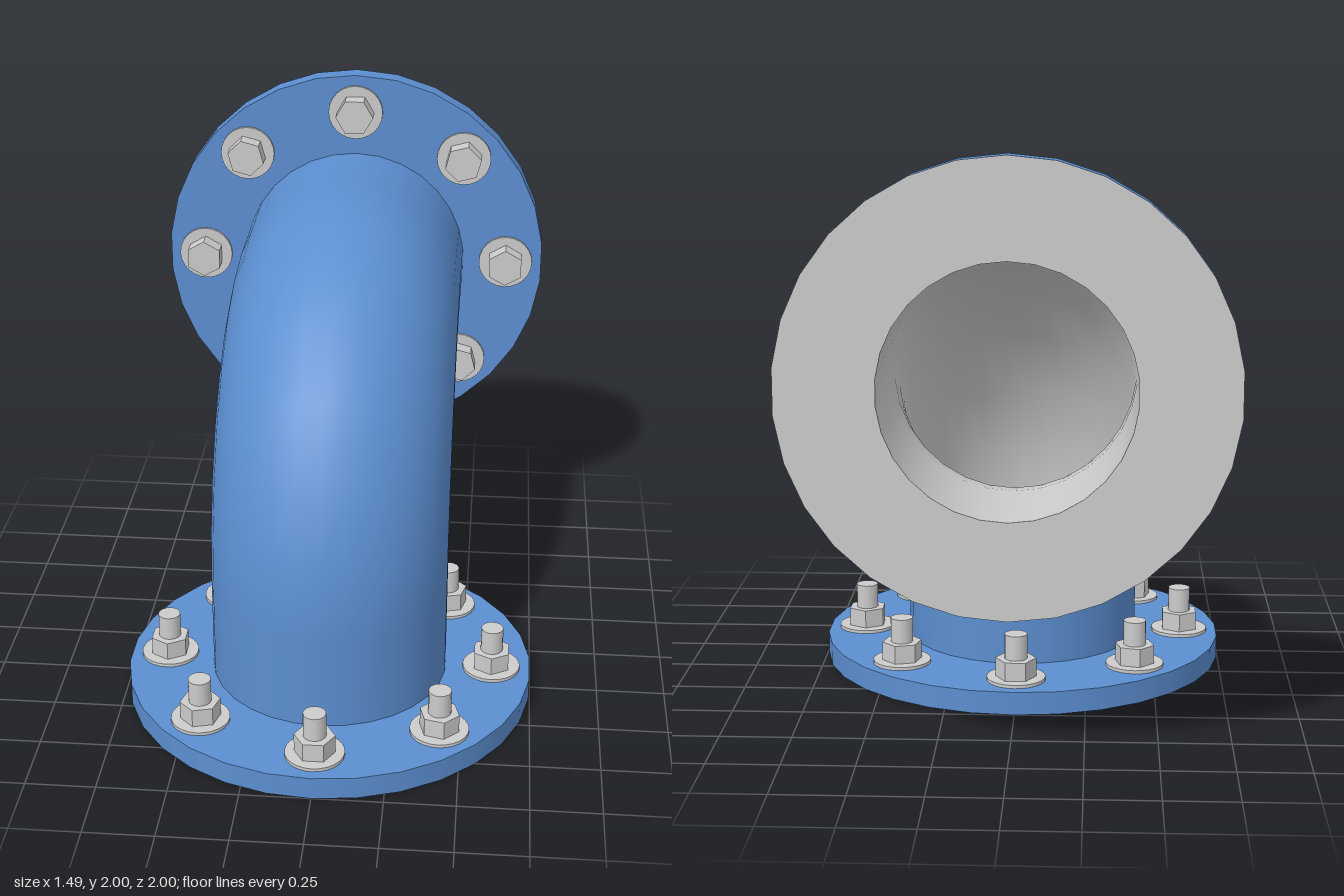
import * as THREE from 'three';

const SIDES = 30, FLANGE_R = 0.75, FLANGE_T = 0.083, OUTER_R = 0.435, BORE_R = 0.42;
const BEND_R = 0.82, BEND_Y = 0.43, BEND_Z = -0.57, BEND_STEPS = 7;
const BOLTS = 8, BOLT_RING = 0.604;

const blue = new THREE.MeshStandardMaterial({ color: 0x5b8ed0 });
blue.name = 'blue paint';
const steel = new THREE.MeshStandardMaterial({ color: 0xcccccc });
steel.name = 'bare steel';

function add(parent, name, geometry, material, y = 0) {
  const mesh = new THREE.Mesh(geometry, material);
  mesh.name = name;
  mesh.position.y = y;
  parent.add(mesh);
  return mesh;
}

// Round pipe swept up, through a quarter bend and back; inside = true faces the bore
function elbow(radius, inside) {
  const rings = [[0, 0.25, 0]]; // y, z, bend angle
  for (let i = 0; i <= BEND_STEPS; i++) {
    const t = (i / BEND_STEPS) * Math.PI / 2;
    rings.push([BEND_Y + BEND_R * Math.sin(t), BEND_Z + BEND_R * Math.cos(t), t]);
  }
  rings.push([1.25, -1, Math.PI / 2]);

  const pos = [], nor = [], idx = [], sign = inside ? -1 : 1, row = SIDES + 1;
  rings.forEach(([y, z, t], i) => {
    for (let j = 0; j <= SIDES; j++) {
      const a = (j / SIDES) * Math.PI * 2 + Math.PI / 2;
      const n = [Math.cos(a), Math.sin(a) * Math.sin(t), Math.sin(a) * Math.cos(t)];
      pos.push(radius * n[0], y + radius * n[1], z + radius * n[2]);
      nor.push(...n.map((v) => v * sign));
      if (i === rings.length - 1 || j === SIDES) continue;
      const p = i * row + j, q = p + 1, r = p + row, s = r + 1;
      if (inside) idx.push(p, q, r, q, s, r);
      else idx.push(p, r, q, q, r, s);
    }
  });
  const g = new THREE.BufferGeometry();
  g.setAttribute('position', new THREE.Float32BufferAttribute(pos, 3));
  g.setAttribute('normal', new THREE.Float32BufferAttribute(nor, 3));
  g.setIndex(idx);
  return g;
}

function ring(innerRadius, facing) {
  return new THREE.RingGeometry(innerRadius, FLANGE_R, SIDES, 1, Math.PI / 2)
    .rotateX(-facing * Math.PI / 2);
}

// Washer and hex, with an optional threaded end standing above the nut
function bolt(name, withStud) {
  const g = new THREE.Group();
  g.name = name;
  add(g, 'washer', new THREE.CylinderGeometry(0.106, 0.106, 0.012, 24), steel, 0.006);
  const hex = new THREE.CylinderGeometry(0.073, 0.073, 0.068, 6).toNonIndexed();
  hex.computeVertexNormals();
  hex.rotateY(Math.PI / 2);
  add(g, withStud ? 'nut' : 'boltHead', hex, steel, 0.046);
  if (withStud) add(g, 'stud', new THREE.CylinderGeometry(0.041, 0.041, 0.09, 16), steel, 0.125);
  return g;
}

// Flange with its mating face at y = 0 and the bolts on top
function flange(name, withStuds) {
  const g = new THREE.Group();
  g.name = name;
  add(g, 'flangeRim',
    new THREE.CylinderGeometry(FLANGE_R, FLANGE_R, FLANGE_T, SIDES, 1, true), blue, FLANGE_T / 2);
  add(g, 'flangeTop', ring(OUTER_R - 0.01, 1), blue, FLANGE_T);
  add(g, 'matingFace', ring(BORE_R, -1), steel);
  for (let i = 0; i < BOLTS; i++) {
    const a = (i / BOLTS) * Math.PI * 2;
    const b = bolt('bolt' + (i + 1), withStuds);
    b.position.set(BOLT_RING * Math.sin(a), FLANGE_T, BOLT_RING * Math.cos(a));
    b.rotation.y = a;
    g.add(b);
  }
  return g;
}

export function createModel() {
  const model = new THREE.Group();
  model.name = 'flangedPipeElbow';
  add(model, 'pipeOuter', elbow(OUTER_R, false), blue);
  add(model, 'pipeBore', elbow(BORE_R, true), steel);

  const base = flange('baseFlange', true);
  base.position.z = 0.25;
  const back = flange('backFlange', false);
  back.position.set(0, 1.25, -1);
  back.rotation.x = Math.PI / 2;
  model.add(base, back);
  return model;
}
